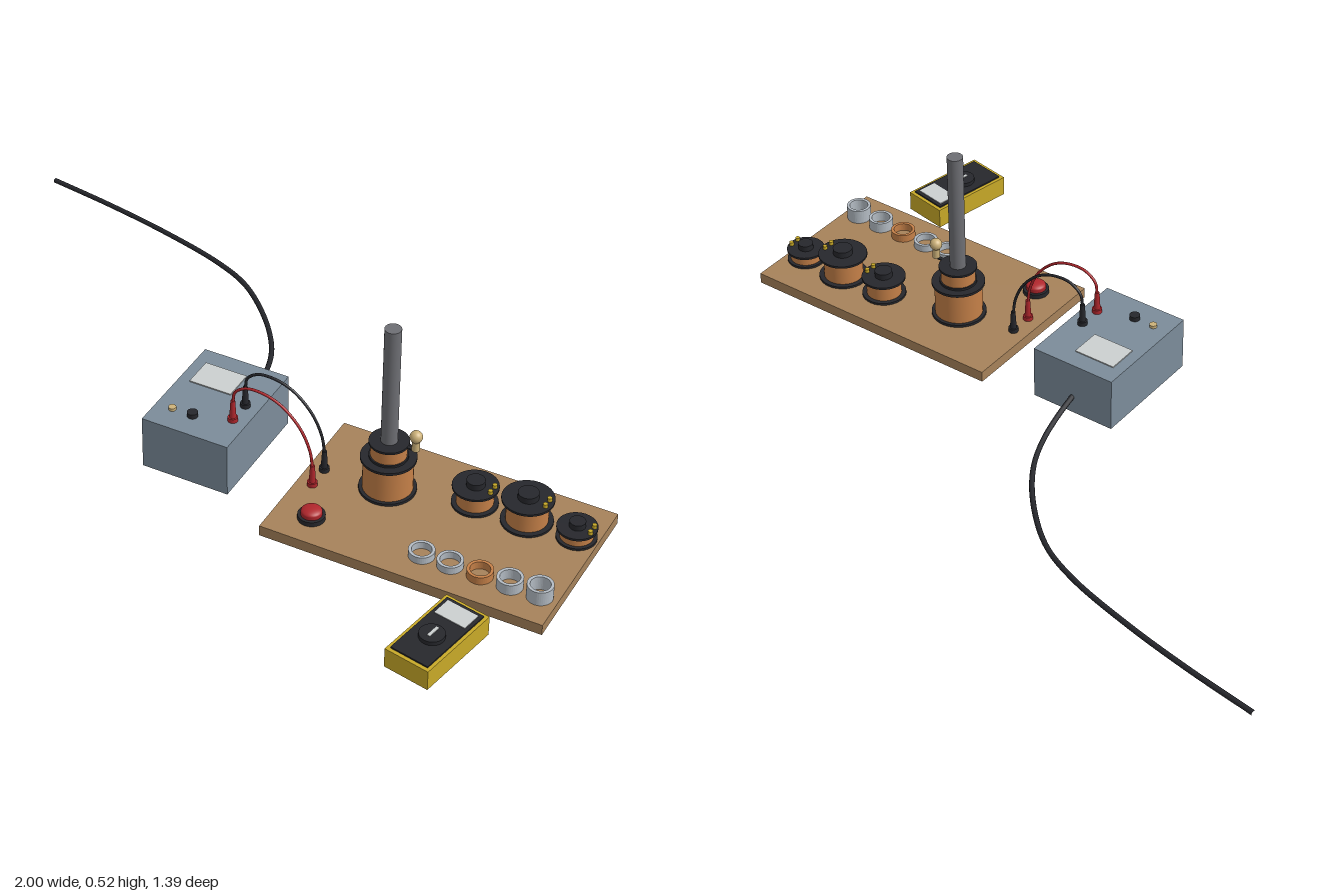
import * as THREE from 'three';

const mat = (name, color) => {
  const m = new THREE.MeshStandardMaterial({ color });
  m.name = name;
  return m;
};

export function createModel() {
  const slate = mat('slate case', 0x7c8c9a);
  const wood = mat('wood', 0xa6825a);
  const copper = mat('copper', 0xc58048);
  const dark = mat('black plastic', 0x26272c);
  const iron = mat('iron', 0x6e6f74);
  const yellow = mat('yellow case', 0xc9aa28);
  const red = mat('red', 0xb0262c);
  const brass = mat('pale brass', 0xcdb27a);
  const white = mat('off white', 0xccd0d0);
  const alu = mat('aluminium', 0xb4bcc4);

  const root = new THREE.Group();
  const add = (name, geo, material, x, y, z, parent = root) => {
    const m = new THREE.Mesh(geo, material);
    m.name = name;
    m.position.set(x, y, z);
    parent.add(m);
    return m;
  };
  const box = (name, material, w, h, d, x, y0, z, parent) =>
    add(name, new THREE.BoxGeometry(w, h, d), material, x, y0 + h / 2, z, parent);
  // upright cylinder between two heights
  const cyl = (name, material, r, y0, y1, x, z, parent, rTop = r) =>
    add(name, new THREE.CylinderGeometry(rTop, r, y1 - y0, 32), material, x, (y0 + y1) / 2, z, parent);
  const tube = (name, material, pts, r, segs = 48) => {
    const curve = new THREE.CatmullRomCurve3(pts.map(p => new THREE.Vector3(...p)));
    return add(name, new THREE.TubeGeometry(curve, segs, r, 10), material, 0, 0, 0);
  };
  const group = name => {
    const g = new THREE.Group();
    g.name = name;
    root.add(g);
    return g;
  };

  // Wooden board
  box('baseBoard', wood, 0.754, 0.03, 0.458, 0.621, 0, 0.164);

  // Power supply
  const supply = group('powerSupply');
  box('supplyCase', slate, 0.242, 0.15, 0.325, -0.02, 0, 0.132, supply);
  box('supplyLabel', white, 0.118, 0.003, 0.086, -0.051, 0.15, 0.064, supply);
  cyl('supplyLamp', brass, 0.01, 0.15, 0.158, -0.093, 0.225, supply);
  cyl('supplyKnob', dark, 0.014, 0.15, 0.163, -0.035, 0.225, supply);

  // Mains cable lying on the ground
  tube('mainsCable', dark, [
    [-0.018, 0.05, -0.02], [-0.025, 0.034, -0.1], [-0.043, 0.02, -0.19], [-0.08, 0.012, -0.28],
    [-0.16, 0.009, -0.39], [-0.28, 0.008, -0.5], [-0.4, 0.007, -0.558], [-0.6, 0.007, -0.615],
    [-0.8, 0.007, -0.657], [-1, 0.007, -0.69]], 0.007, 80);

  // Patch leads with a plug at each end
  for (const [label, z, m] of [['black', 0.128, dark], ['red', 0.193, red]]) {
    for (const [x, y] of [[0.062, 0.15], [0.286, 0.03]]) {
      cyl(label + 'Socket', m, 0.013, y, y + 0.012, x, z);
      cyl(label + 'Plug', m, 0.009, y + 0.01, y + 0.062, x, z, root, 0.006);
    }
    tube(label + 'Lead', m, [
      [0.062, 0.2, z], [0.068, 0.24, z], [0.1, 0.264, z], [0.15, 0.265, z], [0.2, 0.245, z],
      [0.25, 0.195, z], [0.278, 0.135, z], [0.286, 0.085, z]], 0.0038);
  }

  // Main coil with iron core and a secondary coil on top
  const cx = 0.455, cz = 0.113;
  const main = group('mainCoil');
  cyl('lowerFlange', dark, 0.073, 0.03, 0.037, cx, cz, main);
  cyl('primaryWinding', copper, 0.064, 0.037, 0.126, cx, cz, main);
  cyl('upperFlange', dark, 0.071, 0.126, 0.133, cx, cz, main);
  cyl('secondaryFlange', dark, 0.05, 0.133, 0.139, cx, cz, main);
  cyl('secondaryWinding', copper, 0.046, 0.139, 0.175, cx, cz, main);
  cyl('secondaryTopFlange', dark, 0.051, 0.175, 0.181, cx, cz, main);
  cyl('ironCore', iron, 0.0213, 0.03, 0.522, cx, cz, main);

  // Small lamp on the secondary coil
  cyl('lampBase', brass, 0.01, 0.178, 0.205, 0.527, cz);
  add('lampBulb', new THREE.SphereGeometry(0.0165, 24, 16), brass, 0.527, 0.219, cz);
  box('lampBracket', dark, 0.04, 0.004, 0.01, 0.515, 0.176, cz);

  // Row of spare coils: x, flange radius, winding radius, flange top, knob top
  for (const [x, r, wr, top, knob] of [
    [0.67, 0.059, 0.047, 0.087, 0.104],
    [0.81, 0.066, 0.053, 0.103, 0.12],
    [0.942, 0.051, 0.042, 0.066, 0.082]]) {
    const z = 0.063, g = group('spareCoil');
    cyl('coilBottomFlange', dark, r, 0.03, 0.036, x, z, g);
    cyl('coilWinding', copper, wr, 0.036, top - 0.006, x, z, g);
    cyl('coilTopFlange', dark, r, top - 0.006, top, x, z, g);
    cyl('coilCap', dark, r * 0.4, top, knob, x, z, g);
    for (const s of [-1, 1])
      cyl('coilTerminal', yellow, 0.006, top, top + 0.01, x + r * 0.77, z + s * 0.013, g);
  }

  // Row of metal rings, growing taller
  const ring = (r, ri, h) => new THREE.LatheGeometry(
    [[ri, 0], [r, 0], [r, 0], [r, h], [r, h], [ri, h], [ri, h], [ri, 0]]
      .map(p => new THREE.Vector2(...p)), 40);
  [[0.64, 0.02], [0.716, 0.02], [0.795, 0.022], [0.873, 0.03], [0.951, 0.04]].forEach(([x, h], i) => {
    const m = add('testRing', ring(0.033, 0.025, h).toNonIndexed(), i === 2 ? copper : alu, x, 0.03, 0.303);
    m.geometry.computeVertexNormals();
  });

  // Push button
  const button = group('pushButton');
  cyl('buttonBase', dark, 0.035, 0.03, 0.043, 0.342, 0.305, button);
  cyl('buttonCollar', red, 0.027, 0.043, 0.052, 0.342, 0.305, button);
  const cap = add('buttonCap', new THREE.SphereGeometry(0.027, 28, 10, 0, Math.PI * 2, 0, Math.PI / 2),
    red, 0.342, 0.052, 0.305, button);
  cap.scale.y = 0.4;

  // Hand-held meter, turned slightly
  const meter = group('meter');
  meter.position.set(0.803, 0, 0.558);
  meter.rotation.y = -0.19;
  box('meterCase', yellow, 0.125, 0.056, 0.242, 0, 0, 0, meter);
  box('meterFace', dark, 0.107, 0.004, 0.222, 0, 0.056, 0, meter);
  box('meterScreen', white, 0.088, 0.002, 0.054, 0, 0.06, -0.074, meter);
  cyl('meterDial', dark, 0.032, 0.06, 0.071, 0, 0.022, meter);
  box('meterPointer', white, 0.008, 0.002, 0.036, 0, 0.071, 0.018, meter);

  return root;
}
